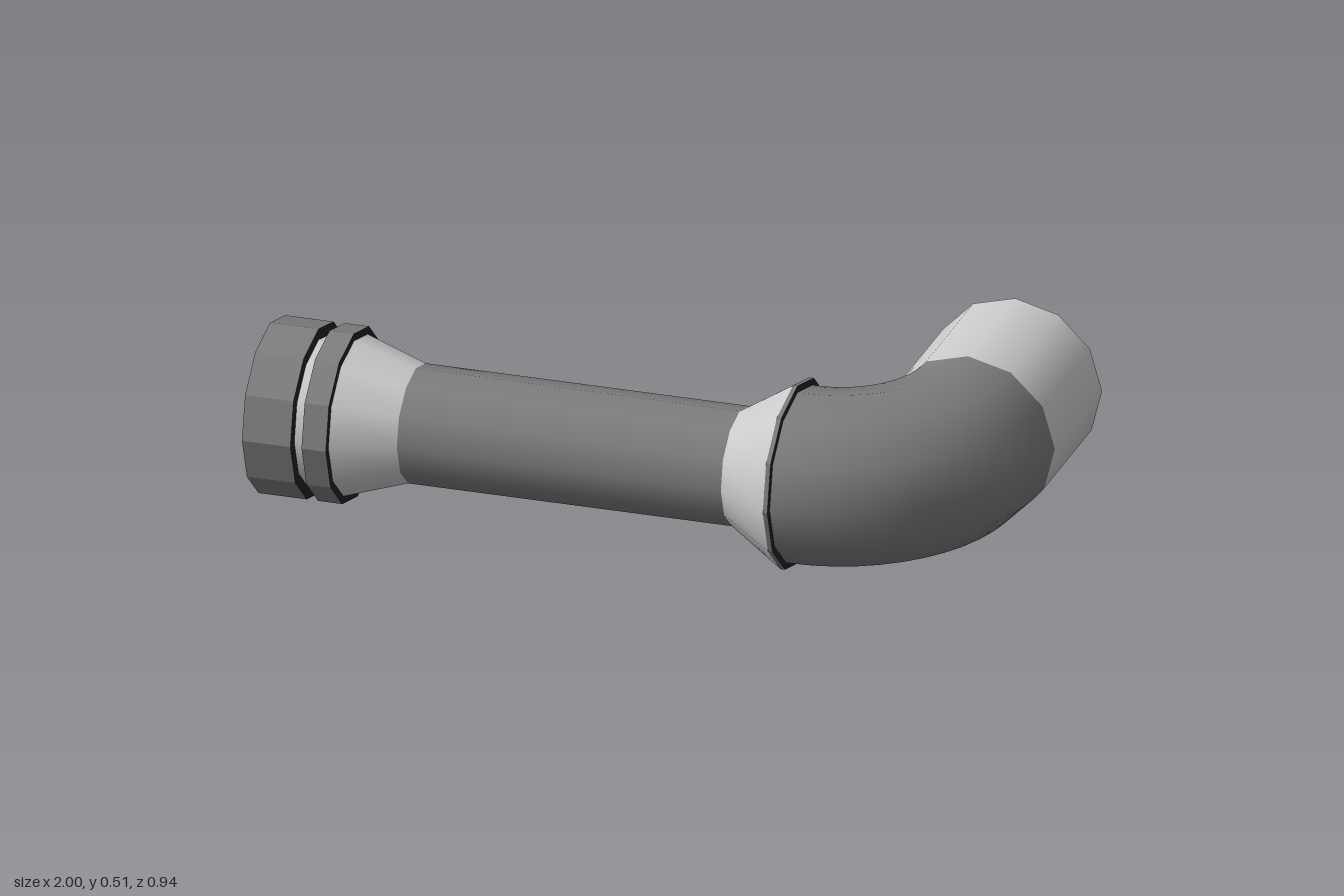
import * as THREE from 'three';

const SIDES = 12;

export function createModel() {
  const model = new THREE.Group();
  const light = new THREE.MeshStandardMaterial({ color: 0xcccccc });
  const dark = new THREE.MeshStandardMaterial({ color: 0x7c7c7c });
  const darkFlat = new THREE.MeshStandardMaterial({ color: 0x7c7c7c, flatShading: true });
  const black = new THREE.MeshStandardMaterial({ color: 0x222222 });

  const add = (name, geometry, material) => {
    const mesh = new THREE.Mesh(geometry, material);
    mesh.name = name;
    model.add(mesh);
    return mesh;
  };

  // Section along the x axis from x0 to x1, with dark end faces
  const section = (name, x0, x1, r0, r1, side) => {
    const g = new THREE.CylinderGeometry(r1, r0, x1 - x0, SIDES);
    g.rotateZ(-Math.PI / 2);
    g.translate((x0 + x1) / 2, 0, 0);
    return add(name, g, [side, black, black]);
  };

  // Coupling at the left end
  section('couplingNut', -1, -0.87, 0.228, 0.228, darkFlat);
  section('couplingNeck', -0.87, -0.84, 0.198, 0.198, light);
  section('couplingRing', -0.84, -0.775, 0.228, 0.228, darkFlat);
  section('couplingReducer', -0.775, -0.61, 0.208, 0.154, light);

  // Straight pipe and the flared socket
  section('straightPipe', -0.61, 0.26, 0.154, 0.154, dark);
  section('flaredReducer', 0.26, 0.405, 0.154, 0.246, light);
  section('flareRim', 0.405, 0.417, 0.246, 0.246, darkFlat);

  // Elbow turning towards the back
  const bend = 0.329, bendX = 0.43, radius = 0.228;
  section('elbowSocket', 0.412, bendX, radius, radius, dark);
  const elbow = new THREE.TorusGeometry(bend, radius, SIDES, 12, Math.PI / 2);
  elbow.rotateX(Math.PI / 2);
  elbow.translate(bendX, 0, -bend);
  add('elbow', elbow, dark);

  // Outlet pipe
  const outletLength = 0.36;
  const outlet = new THREE.CylinderGeometry(radius, radius, outletLength, SIDES);
  outlet.rotateX(-Math.PI / 2);
  outlet.translate(bendX + bend, 0, -bend - outletLength / 2);
  add('outletPipe', outlet, [light, black, black]);

  // Slight tilt of the whole run
  model.rotation.set(0.045, -0.018, 0.006);
  model.position.set(0, 0.246, 0.221);
  return model;
}
